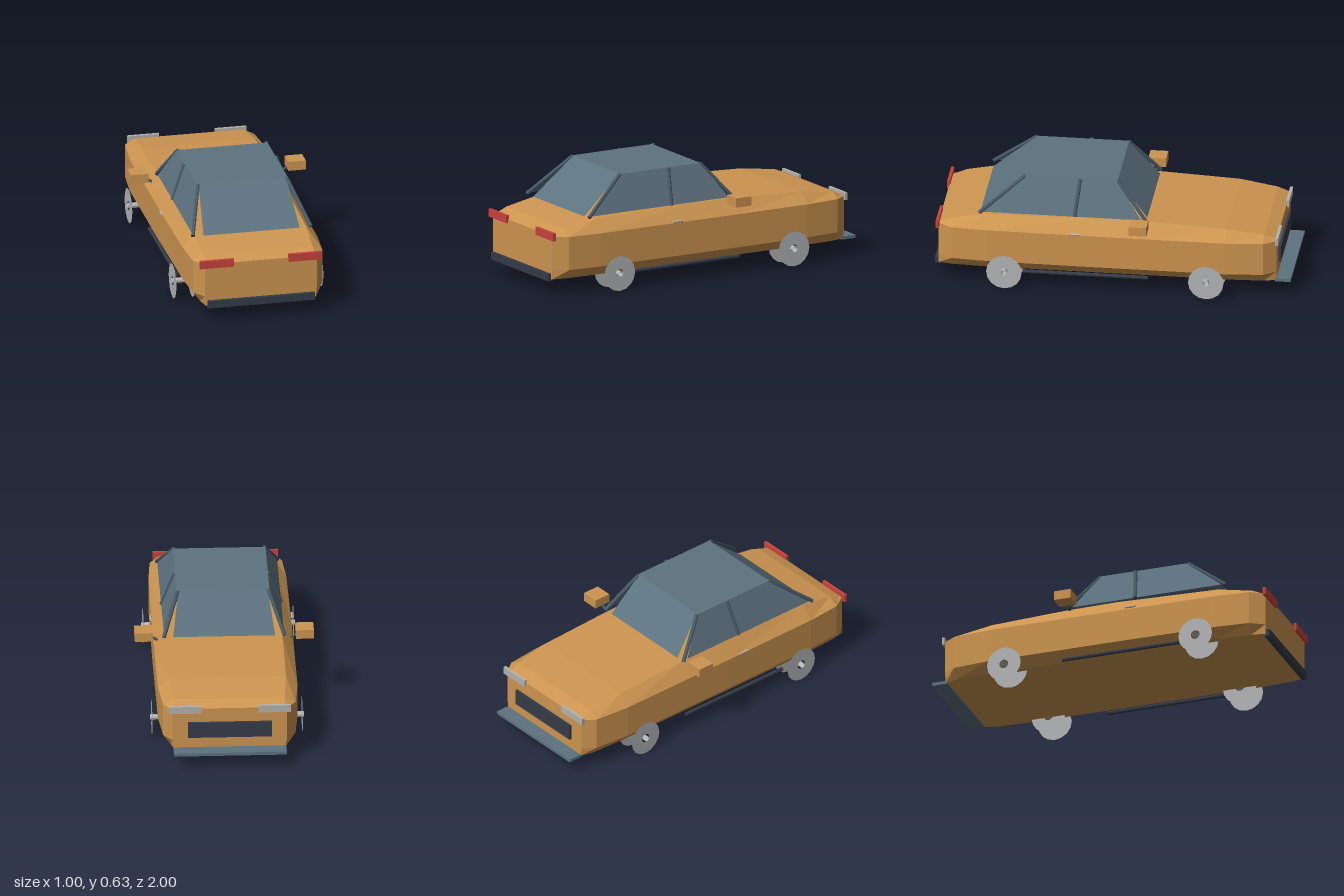
import * as THREE from 'three';

const mat = (name, color, side = THREE.FrontSide) => {
  const m = new THREE.MeshStandardMaterial({ color, side, flatShading: true });
  m.name = name;
  return m;
};

export function createModel() {
  const car = new THREE.Group();
  car.name = 'car';
  const paint = mat('orangePaint', 0xcd9550);
  const glass = mat('blueGreyGlass', 0x5d7380, THREE.DoubleSide);
  const trim = mat('slateTrim', 0x465965);
  const dark = mat('darkPlastic', 0x353c48);
  const red = mat('redLamp', 0xc8423c);
  const lamp = mat('paleLamp', 0xb4b2aa);
  const metal = mat('wheelMetal', 0xb4b5b7, THREE.DoubleSide);

  const add = (name, geometry, material) => {
    const mesh = new THREE.Mesh(geometry, material);
    mesh.name = name;
    car.add(mesh);
    return mesh;
  };
  // Box given by its limits on each axis
  const box = (name, [x0, x1], [y0, y1], [z0, z1], material) =>
    add(name, new THREE.BoxGeometry(Math.abs(x1 - x0), y1 - y0, Math.abs(z1 - z0)), material)
      .position.set((x0 + x1) / 2, (y0 + y1) / 2, (z0 + z1) / 2);
  // Round bar between two points
  const bar = (name, from, to, radius, material, sides = 8, open = false) => {
    const a = new THREE.Vector3(...from), b = new THREE.Vector3(...to);
    const dir = b.clone().sub(a);
    const mesh = add(name, new THREE.CylinderGeometry(radius, radius, dir.length(), sides, 1, open), material);
    mesh.position.copy(a).add(b).multiplyScalar(0.5);
    mesh.quaternion.setFromUnitVectors(new THREE.Vector3(0, 1, 0), dir.normalize());
  };
  const surface = (points) => {
    const g = new THREE.BufferGeometry();
    g.setAttribute('position', new THREE.Float32BufferAttribute(points.flat(), 3));
    g.computeVertexNormals();
    return g;
  };
  const quad = (a, b, c, d) => [a, b, c, a, c, d];

  // Body shell: z, half width, floor half width, deck half width, deck height
  const sections = [
    [0.98, 0.32, 0.315, 0.30, 0.343],
    [0.90, 0.37, 0.33, 0.31, 0.375],
    [0.70, 0.385, 0.34, 0.32, 0.41],
    [0.10, 0.39, 0.34, 0.325, 0.424],
    [-0.20, 0.39, 0.34, 0.325, 0.42],
    [-0.64, 0.39, 0.34, 0.325, 0.40],
    [-0.85, 0.37, 0.33, 0.31, 0.372],
    [-0.92, 0.32, 0.31, 0.30, 0.345],
  ];
  const rings = sections.map(([z, w, floor, deck, top]) => {
    const half = [[floor, 0.095, z], [w, 0.15, z], [w, 0.34, z], [deck, top, z]];
    return [...half, ...half.map(([x, y]) => [-x, y, z]).reverse()];
  });
  const tris = [];
  const n = rings[0].length;
  for (let s = 0; s < rings.length - 1; s++) {
    for (let i = 0; i < n; i++) {
      const j = (i + 1) % n;
      tris.push(...quad(rings[s][i], rings[s + 1][i], rings[s + 1][j], rings[s][j]));
    }
  }
  const last = rings[rings.length - 1];
  for (let i = 1; i < n - 1; i++) {
    tris.push(rings[0][0], rings[0][i], rings[0][i + 1]);
    tris.push(last[0], last[i + 1], last[i]);
  }
  add('body', surface(tris), paint);

  // Roof and the two end windows
  add('roof', surface(quad([-0.26, 0.63, 0.5], [0.26, 0.63, 0.5], [0.26, 0.63, -0.02], [-0.26, 0.63, -0.02])), glass);
  add('rearWindow', surface(quad([-0.275, 0.42, 0.745], [0.275, 0.42, 0.745], [0.25, 0.63, 0.5], [-0.25, 0.63, 0.5])), glass);
  add('windscreen', surface(quad([0.285, 0.425, -0.19], [-0.285, 0.425, -0.19], [-0.25, 0.63, -0.02], [0.25, 0.63, -0.02])), glass);

  // Parts found on both flanks
  for (const s of [1, -1]) {
    const side = s > 0 ? 'left' : 'right';
    const sideGlass = quad([s * 0.335, 0.43, 0.73], [s * 0.335, 0.43, -0.16], [s * 0.26, 0.63, -0.02], [s * 0.26, 0.63, 0.5]);
    add(side + 'Windows', surface(s > 0 ? sideGlass : sideGlass.reverse()), glass);

    bar(side + 'WindscreenPillar', [s * 0.253, 0.628, -0.02], [s * 0.337, 0.425, -0.19], 0.011, trim);
    bar(side + 'MiddlePillar', [s * 0.262, 0.628, 0.19], [s * 0.335, 0.43, 0.213], 0.011, trim);
    bar(side + 'RearPillar', [s * 0.253, 0.628, 0.5], [s * 0.337, 0.425, 0.75], 0.011, trim);

    box(side + 'Mirror', [s * 0.4, s * 0.5], [0.41, 0.463], [-0.21, -0.11], paint);
    bar(side + 'MirrorStalk', [s * 0.372, 0.396, -0.16], [s * 0.415, 0.422, -0.16], 0.008, trim);
    bar(side + 'DoorHandle', [s * 0.395, 0.349, 0.175], [s * 0.395, 0.349, 0.235], 0.006, lamp);
    bar(side + 'SideSkirt', [s * 0.373, 0.095, -0.205], [s * 0.373, 0.095, 0.5], 0.011, dark);

    box(side + 'TailLight', [s * 0.157, s * 0.35], [0.322, 0.367], [0.975, 0.992], red);
    box(side + 'Headlight', [s * 0.16, s * 0.34], [0.32, 0.362], [-0.932, -0.915], lamp);

    // Wheels: outer and inner face discs around a hub tube
    for (const [end, z] of [['Rear', 0.6], ['Front', -0.535]]) {
      for (const [face, x] of [['Outer', 0.42], ['Inner', 0.312]]) {
        const disc = add(side + end + 'Wheel' + face, new THREE.RingGeometry(0.026, 0.1, 16), metal);
        disc.rotation.y = s * Math.PI / 2;
        disc.position.set(s * x, 0.104, z);
      }
      bar(side + end + 'Hub', [s * 0.3, 0.104, z], [s * 0.43, 0.104, z], 0.016, metal, 12, true);
    }
  }

  // Bumper, grille and front splitter
  box('rearBumper', [-0.306, 0.306], [0.085, 0.127], [0.97, 1.0], dark);
  box('grille', [-0.235, 0.235], [0.17, 0.262], [-0.934, -0.915], dark);
  box('frontSplitter', [-0.315, 0.315], [0.088, 0.106], [-1.0, -0.91], glass);

  return car;
}
